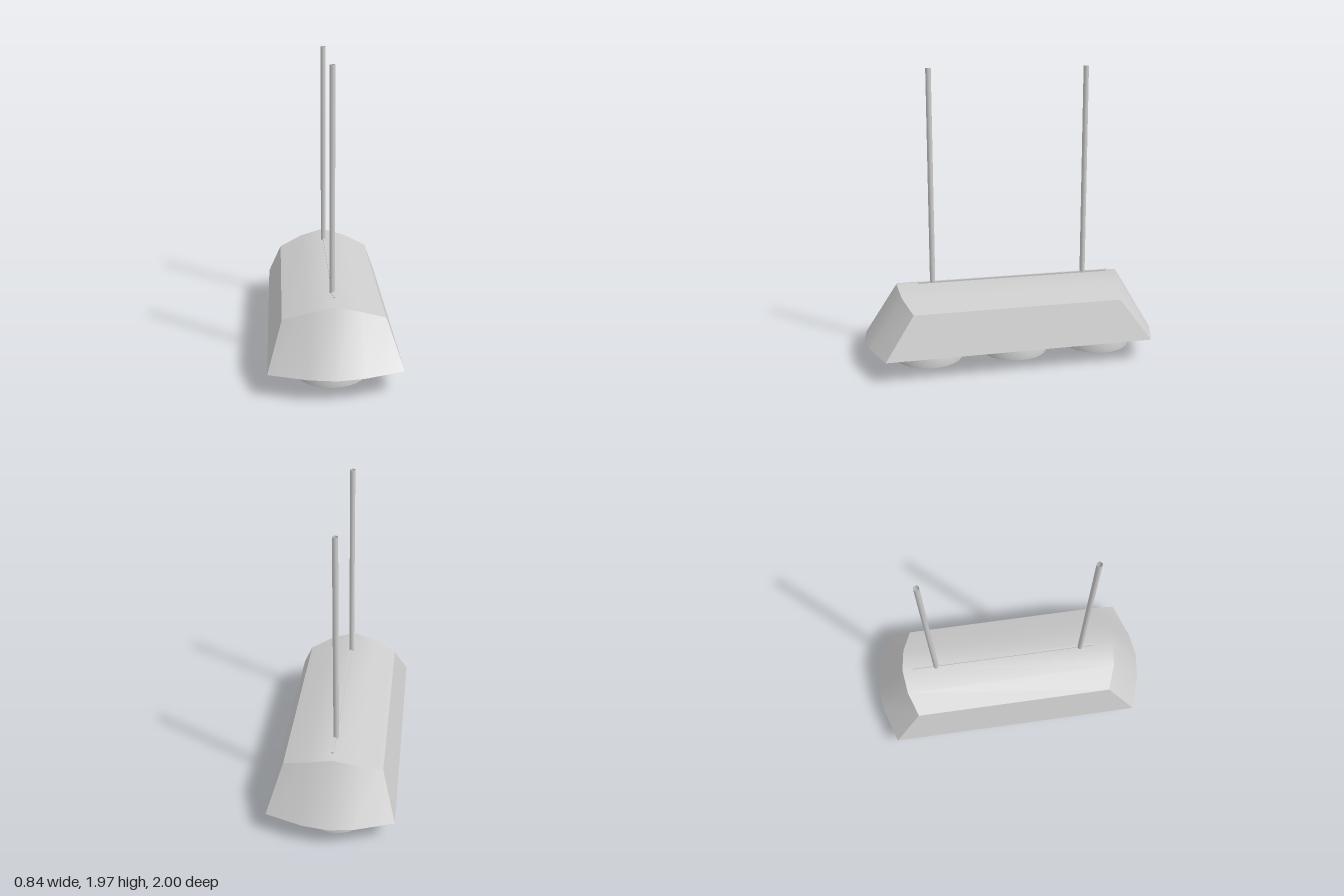
import * as THREE from 'three';
import { toCreasedNormals } from 'three/addons/utils/BufferGeometryUtils.js';

const material = new THREE.MeshStandardMaterial({ color: 0xcccccc });
const openMaterial = new THREE.MeshStandardMaterial({ color: 0xcccccc, side: THREE.DoubleSide });

function addMesh(parent, name, geometry, x = 0, y = 0, z = 0, mat = material) {
  const mesh = new THREE.Mesh(geometry, mat);
  mesh.name = name;
  mesh.position.set(x, y, z);
  parent.add(mesh);
  return mesh;
}

// Tapered hood: bowed ends, ridged roof, flat underside
function hoodGeometry() {
  // stations across the width: [bottom x, bottom z, top x, top y, top z]
  const half = [[0, 1, 0, 0.53, 0.775], [0.17, 0.977, 0.165, 0.486, 0.757], [0.418, 0.895, 0.325, 0.42, 0.7]];
  const mirrored = half.slice(1).reverse().map(([bx, bz, tx, ty, tz]) => [-bx, bz, -tx, ty, tz]);
  const stations = [...mirrored, ...half];
  const low = (s, side) => [s[0], 0.15, s[1] * side];
  const high = (s, side) => [s[2], s[3], s[4] * side];
  const positions = [];
  const quad = (a, b, c, d) => positions.push(...a, ...b, ...c, ...a, ...c, ...d);

  for (let i = 0; i < stations.length - 1; i++) {
    const s = stations[i], t = stations[i + 1];
    quad(low(s, 1), low(t, 1), high(t, 1), high(s, 1));
    quad(low(t, -1), low(s, -1), high(s, -1), high(t, -1));
    quad(high(s, 1), high(t, 1), high(t, -1), high(s, -1));
    quad(low(s, -1), low(t, -1), low(t, 1), low(s, 1));
  }
  const l = stations[0], r = stations[stations.length - 1];
  quad(low(r, 1), low(r, -1), high(r, -1), high(r, 1));
  quad(low(l, -1), low(l, 1), high(l, 1), high(l, -1));

  const geometry = new THREE.BufferGeometry();
  geometry.setAttribute('position', new THREE.Float32BufferAttribute(positions, 3));
  return toCreasedNormals(geometry, 0.6);
}

// Lamp dome with a thin rim around a slightly recessed lens
function lampGeometry() {
  const profile = [
    [0, 0.02], [0.212, 0.02], [0.215, 0], [0.235, 0], [0.235, 0.02],
    [0.225, 0.08], [0.207, 0.125], [0.185, 0.16], [0.13, 0.2], [0, 0.225],
  ].map(([r, y]) => new THREE.Vector2(r, y));
  return toCreasedNormals(new THREE.LatheGeometry(profile, 28), 0.6);
}

export function createModel() {
  const model = new THREE.Group();
  model.name = 'pendantLight';

  addMesh(model, 'hood', hoodGeometry());

  // Thin strip along the ridge
  addMesh(model, 'ridgeStrip', new THREE.BoxGeometry(0.016, 0.03, 1.33), 0.002, 0.523, -0.035);

  // Hanging tubes
  const rod = new THREE.CylinderGeometry(0.018, 0.018, 1.437, 16, 1, true);
  for (const z of [0.53, -0.53]) addMesh(model, 'hangingRod', rod, -0.003, 1.2465, z, openMaterial);

  // Three lamps in a row
  const lamp = lampGeometry();
  for (const z of [0.565, -0.035, -0.637]) addMesh(model, 'lamp', lamp, -0.013, 0, z);

  return model;
}
